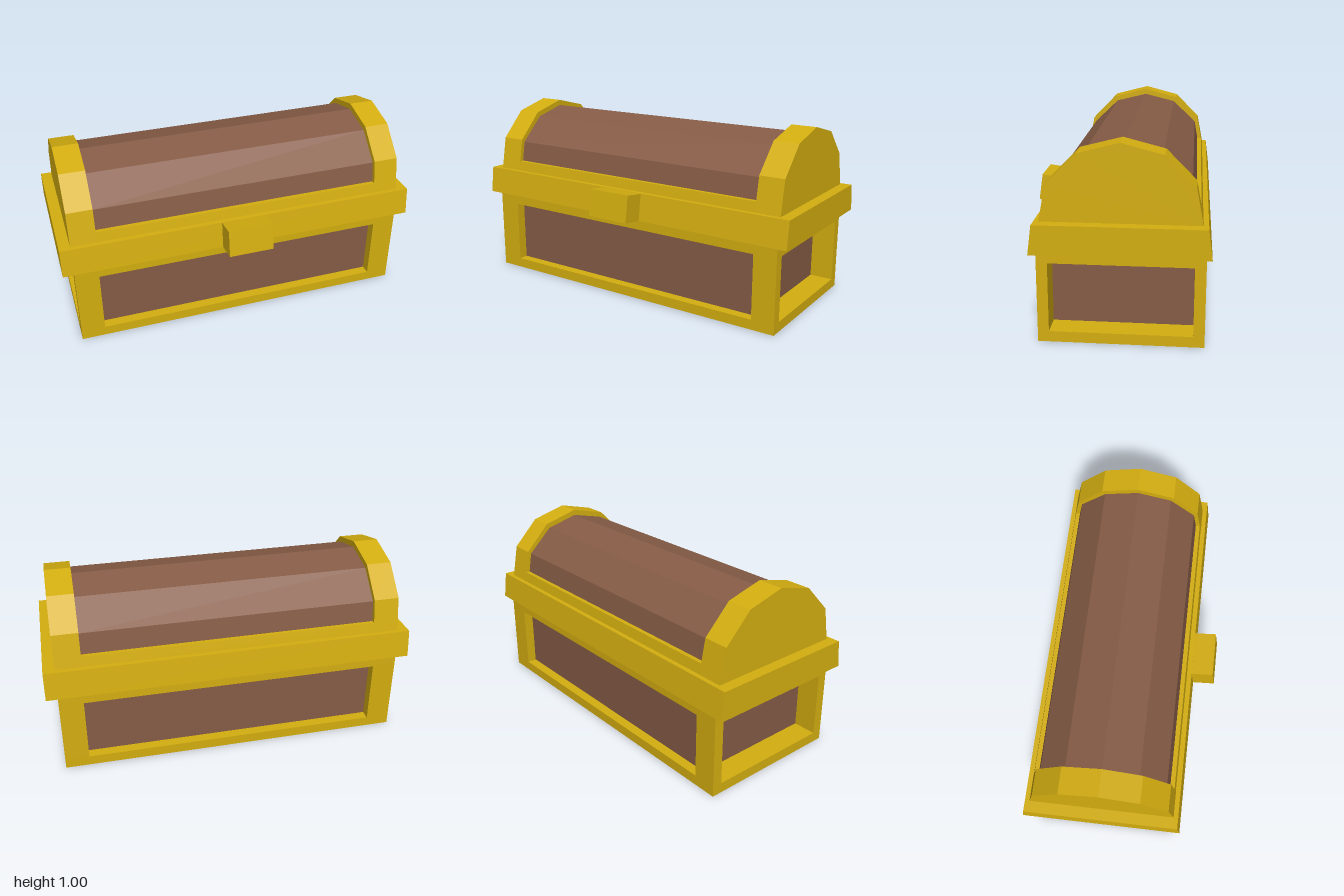
import * as THREE from 'three';

const ZC = -0.058; // depth centre of the chest body; the latch sticks out in front

export function createModel() {
  const gold = new THREE.MeshStandardMaterial({ color: 0xd4ae10, flatShading: true });
  gold.name = 'gold';
  const wood = new THREE.MeshStandardMaterial({ color: 0x865c46, flatShading: true });
  wood.name = 'brown wood';

  const chest = new THREE.Group();
  chest.name = 'treasureChest';

  function add(name, geometry, material, x = 0, y = 0, z = 0) {
    const mesh = new THREE.Mesh(geometry, material);
    mesh.name = name;
    mesh.position.set(x, y, z);
    chest.add(mesh);
    return mesh;
  }

  const box = (name, w, y0, y1, d, material, x = 0, z = 0) =>
    add(name, new THREE.BoxGeometry(w, y1 - y0, d), material, x, (y0 + y1) / 2, ZC + z);

  // Mirrors half a [z, y] section, listed bottom to top, and extrudes it along x
  function section(name, half, x0, x1, material) {
    const mirrored = half.filter(([z]) => z > 0).reverse().map(([z, y]) => [-z, y]);
    const shape = new THREE.Shape([...half, ...mirrored].map(([z, y]) => new THREE.Vector2(-z, y)));
    const geometry = new THREE.ExtrudeGeometry(shape, { depth: x1 - x0, bevelEnabled: false });
    geometry.rotateY(Math.PI / 2);
    return add(name, geometry, material, x0, 0, ZC);
  }

  // Lower body: wooden core in a golden frame
  box('woodenBody', 1.62, 0.05, 0.415, 0.706, wood);
  box('baseFrame', 1.88, 0, 0.055, 0.816, gold);
  box('upperFrame', 1.88, 0.41, 0.475, 0.816, gold);
  for (const sx of [-1, 1]) {
    for (const sz of [-1, 1]) {
      box('cornerPost', 0.13, 0.055, 0.41, 0.055, gold, sx * 0.875, sz * 0.3805);
    }
  }

  // Flared rim between body and lid
  section('rim', [[0.433, 0.47], [0.413, 0.62]], -1, 1, gold);

  // Lid: wooden vault between two faceted golden ends
  section('lidRail', [[0.388, 0.615], [0.377, 0.675]], -0.8, 0.8, gold);
  section('lidVault', [[0.354, 0.67], [0.333, 0.788], [0.19, 0.925], [0, 0.972]], -0.8, 0.8, wood);
  const endProfile = [[0.389, 0.615], [0.353, 0.803], [0.206, 0.952], [0, 1.005]];
  section('lidEndRight', endProfile, -0.94, -0.8, gold);
  section('lidEndLeft', endProfile, 0.8, 0.94, gold);

  // Latch, leaning with the slope of the rim
  const latch = add('latch', new THREE.BoxGeometry(0.25, 0.15, 0.12), gold, 0, 0.5525, 0.4245);
  latch.rotation.x = -0.143;

  return chest;
}
